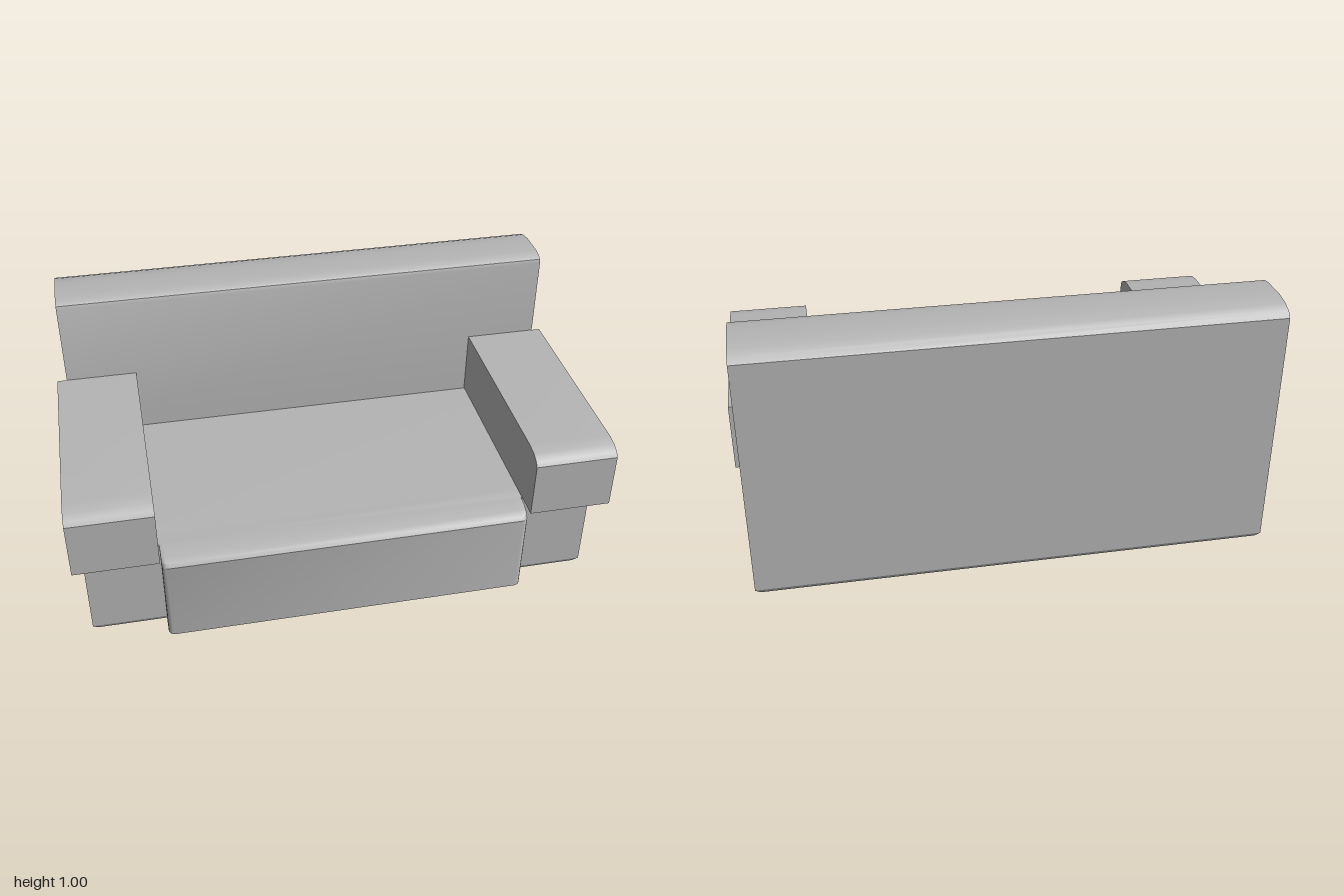
import * as THREE from 'three';
import { toCreasedNormals } from 'three/addons/utils/BufferGeometryUtils.js';

// Extrudes a side profile of [z, y] points from x0 to x1
function extrudeSide(points, x0, x1) {
  const shape = new THREE.Shape(points.map(([z, y]) => new THREE.Vector2(-z, y)));
  const geo = new THREE.ExtrudeGeometry(shape, { depth: x1 - x0, bevelEnabled: false });
  geo.rotateY(Math.PI / 2).translate(x0, 0, 0);
  return toCreasedNormals(geo, 0.6);
}

// Rectangle in plan, with optional rounded front corners of radius r
function outline(x0, x1, z0, z1, r) {
  if (!r) return [[x0, z1], [x1, z1], [x1, z0], [x0, z0]];
  const pts = [], n = 4;
  for (const [cx, start] of [[x0 + r, Math.PI], [x1 - r, Math.PI / 2]]) {
    for (let i = 0; i <= n; i++) {
      const a = start - (i / n) * Math.PI / 2;
      pts.push([cx + r * Math.cos(a), z1 - r + r * Math.sin(a)]);
    }
  }
  return [...pts, [x1, z0], [x0, z0]];
}

// Stacks plan outlines [y, x0, x1, z0, z1, r] into a closed solid
function loft(layers) {
  const rings = layers.map(([y, ...rect]) => outline(...rect).map(([x, z]) => [x, y, z]));
  const n = rings[0].length, pos = [];
  const tri = (a, b, c) => pos.push(...a, ...b, ...c);
  for (let k = 0; k < rings.length - 1; k++) {
    for (let i = 0; i < n; i++) {
      const j = (i + 1) % n, lo = rings[k], hi = rings[k + 1];
      tri(lo[i], lo[j], hi[j]);
      tri(lo[i], hi[j], hi[i]);
    }
  }
  const bottom = rings[0], top = rings[rings.length - 1];
  for (let i = 1; i < n - 1; i++) {
    tri(top[0], top[i], top[i + 1]);
    tri(bottom[0], bottom[i + 1], bottom[i]);
  }
  const geo = new THREE.BufferGeometry();
  geo.setAttribute('position', new THREE.Float32BufferAttribute(pos, 3));
  return toCreasedNormals(geo, 0.6);
}

export function createModel() {
  const group = new THREE.Group();
  const grey = new THREE.MeshStandardMaterial({ color: 0xb4b4b4 });
  grey.name = 'upholstery grey';
  const add = (name, geo) => {
    const mesh = new THREE.Mesh(geo, grey);
    mesh.name = name;
    group.add(mesh);
  };

  // L-shaped body: seat block and tall backrest with rounded top edges
  add('bodyAndBackrest', extrudeSide([
    [0.455, 0.03], [0.455, 0.392], [-0.292, 0.392], [-0.292, 0.97],
    [-0.297, 0.983], [-0.312, 0.993], [-0.345, 0.999], [-0.45, 0.999],
    [-0.505, 0.99], [-0.54, 0.975], [-0.556, 0.955], [-0.556, 0.03],
  ], -0.963, 0.967));

  // Underside, curving inward to the floor
  add('base', loft([
    [0, -0.83, 0.83, -0.495, 0.395],
    [0.004, -0.9, 0.9, -0.525, 0.425],
    [0.013, -0.945, 0.948, -0.547, 0.447],
    [0.03, -0.963, 0.967, -0.556, 0.455],
  ]));

  // Seat front projecting between the arms
  add('seatFront', loft([
    [0.03, -0.685, 0.688, 0.4, 0.556, 0.025],
    [0.362, -0.685, 0.688, 0.4, 0.556, 0.025],
    [0.376, -0.685, 0.688, 0.4, 0.546, 0.025],
    [0.386, -0.685, 0.688, 0.4, 0.52, 0.025],
    [0.393, -0.685, 0.688, 0.4, 0.465, 0.025],
  ]));

  // Overhanging armrests with a rounded front edge
  const armProfile = [
    [0.557, 0.395], [0.557, 0.613], [0.545, 0.629],
    [0.515, 0.644], [0.465, 0.651], [-0.292, 0.651], [-0.292, 0.395],
  ];
  add('leftArmrest', extrudeSide(armProfile, 0.69, 1));
  add('rightArmrest', extrudeSide(armProfile, -1, -0.69));

  return group;
}
